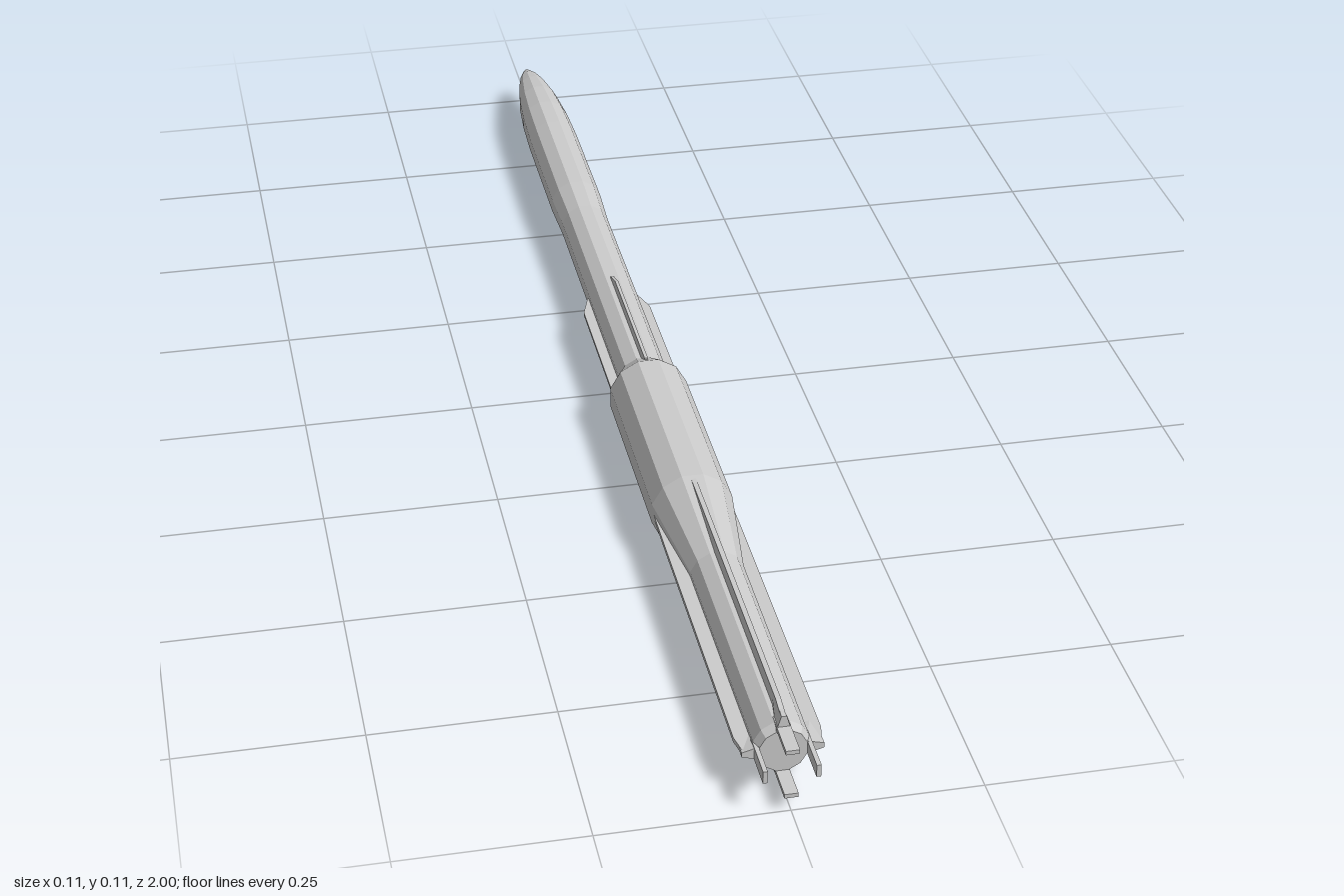
import * as THREE from 'three';

const SIDES = 12;
const material = new THREE.MeshStandardMaterial({ color: 0xcccccc, flatShading: true });

function part(name, geometry) {
  const mesh = new THREE.Mesh(geometry, material);
  mesh.name = name;
  return mesh;
}

// Flat plate in the plane x = 0 from [z, radius] outline points
function plate(outline, thickness) {
  const shape = new THREE.Shape(outline.map(([z, r]) => new THREE.Vector2(z, r)));
  const geometry = new THREE.ExtrudeGeometry(shape, { depth: thickness, bevelEnabled: false });
  return geometry.translate(0, 0, -thickness / 2).rotateY(-Math.PI / 2);
}

// Wedge that widens towards the tail and narrows away from the body
function tailWedge() {
  const base = 0.03, height = 0.023;
  const shape = new THREE.Shape([[0, 0.88], [0.01, 0.952], [-0.01, 0.952]]
    .map(([x, z]) => new THREE.Vector2(x, -z)));
  const geometry = new THREE.ExtrudeGeometry(shape, { depth: height, bevelEnabled: false });
  geometry.rotateX(-Math.PI / 2).translate(0, base, 0);
  const p = geometry.attributes.position;
  for (let i = 0; i < p.count; i++) {
    const t = (p.getY(i) - base) / height;
    p.setX(i, p.getX(i) * (1 - 0.65 * t));
  }
  geometry.computeVertexNormals();
  return geometry;
}

export function createModel() {
  const model = new THREE.Group();
  model.name = 'missile';

  // Faceted body: [z, distance from axis to flat], nose to tail
  const profile = [
    [-1, 0], [-0.995, 0.006], [-0.97, 0.015], [-0.93, 0.024], [-0.87, 0.033],
    [-0.8, 0.038], [-0.72, 0.04], [-0.5, 0.04], [-0.42, 0.037], [0.06, 0.037],
    [0.1, 0.057], [0.41, 0.057], [0.57, 0.037], [0.94, 0.036], [0.953, 0.031], [0.953, 0],
  ];
  const toCorner = 1 / Math.cos(Math.PI / SIDES);
  const bodyGeometry = new THREE.LatheGeometry(
    profile.map(([z, r]) => new THREE.Vector2(r * toCorner, z)), SIDES, Math.PI / SIDES);
  model.add(part('body', bodyGeometry.rotateX(Math.PI / 2)));

  // Four sets of strake, tail fin, wedge and exhaust vane around the body
  const strake = plate([[-0.19, 0.03], [-0.185, 0.039], [-0.145, 0.052], [0.085, 0.052], [0.085, 0.03]], 0.005);
  const fin = plate([[0.4, 0.03], [0.41, 0.056], [0.5, 0.0565], [0.92, 0.0565],
    [0.952, 0.05], [0.952, 0.03]], 0.007);
  const wedge = tailWedge();
  const vane = new THREE.BoxGeometry(0.018, 0.006, 0.07).translate(0, 0.034, 0.965);
  for (let i = 0; i < 4; i++) {
    const set = new THREE.Group();
    set.name = 'finSet' + (i + 1);
    set.add(part('strake', strake), part('tailFin', fin), part('finWedge', wedge), part('exhaustVane', vane));
    set.rotation.z = i * Math.PI / 2;
    model.add(set);
  }

  model.position.y = 0.057;
  const root = new THREE.Group();
  root.name = 'model';
  root.add(model);
  return root;
}
